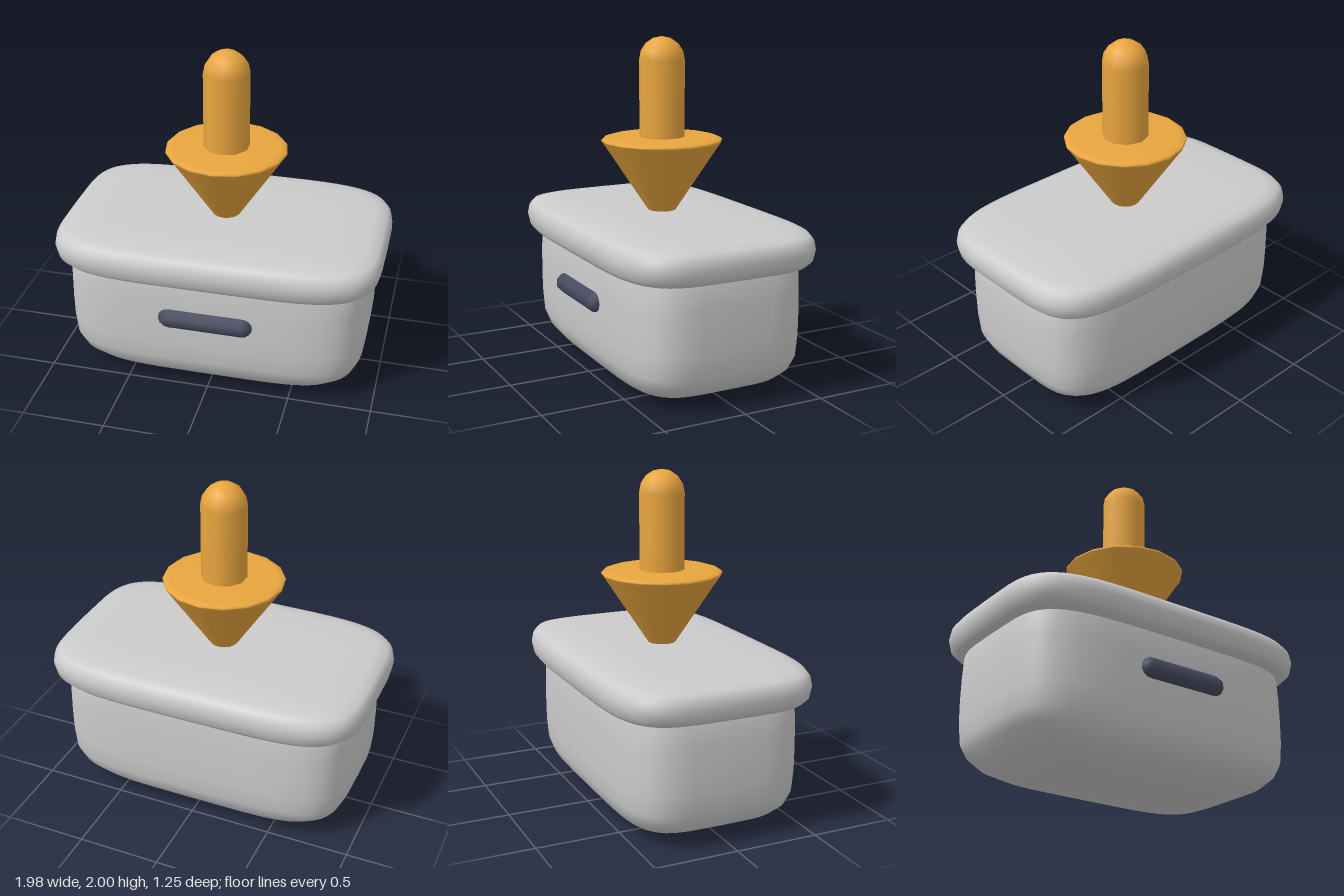
import * as THREE from 'three';

const grey = new THREE.MeshStandardMaterial({ color: 0xcccccc });
const amber = new THREE.MeshStandardMaterial({ color: 0xe8a53e });
const slate = new THREE.MeshStandardMaterial({ color: 0x474b60 });

// Soft box: superellipse rings [halfWidth, halfDepth, y], listed from bottom to top
function softBox(rings, segments = 56, power = 4.7) {
  const positions = [], indices = [];
  const bend = (v) => Math.sign(v) * Math.abs(v) ** (2 / power);
  for (const [rx, rz, y] of rings) {
    for (let j = 0; j < segments; j++) {
      const a = (j / segments) * Math.PI * 2;
      positions.push(rx * bend(Math.cos(a)), y, rz * bend(Math.sin(a)));
    }
  }
  for (let i = 0; i < rings.length - 1; i++) {
    for (let j = 0; j < segments; j++) {
      const k = (j + 1) % segments;
      const a = i * segments + j, b = i * segments + k;
      const c = a + segments, d = b + segments;
      indices.push(a, c, b, b, c, d);
    }
  }
  const geometry = new THREE.BufferGeometry();
  geometry.setAttribute('position', new THREE.Float32BufferAttribute(positions, 3));
  geometry.setIndex(indices);
  geometry.computeVertexNormals();
  return geometry;
}

// Quarter-round cap profile, ending on the axis
function domeProfile(radius, baseY, steps) {
  return Array.from({ length: steps + 1 }, (_, i) => {
    const a = (i / steps) * Math.PI / 2;
    return new THREE.Vector2(i === steps ? 0 : radius * Math.cos(a), baseY + radius * Math.sin(a));
  });
}

function add(parent, name, geometry, material) {
  const mesh = new THREE.Mesh(geometry, material);
  mesh.name = name;
  parent.add(mesh);
  return mesh;
}

export function createModel() {
  const model = new THREE.Group();
  model.name = 'boxWithArrow';

  // Box body with a softly rounded base, its top tucked into the lid
  add(model, 'boxBody', softBox([
    [0.001, 0.001, 0], [0.3, 0.16, 0.003], [0.55, 0.31, 0.012], [0.7, 0.4, 0.032],
    [0.8, 0.468, 0.072], [0.868, 0.515, 0.13], [0.903, 0.542, 0.205],
    [0.914, 0.55, 0.33], [0.916, 0.551, 0.46], [0.914, 0.55, 0.6],
    [0.908, 0.546, 0.72], [0.88, 0.53, 0.8],
  ]), grey);

  // Overhanging lid
  add(model, 'lid', softBox([
    [0.001, 0.001, 0.728], [0.75, 0.45, 0.728], [0.88, 0.54, 0.732],
    [0.945, 0.588, 0.747], [0.978, 0.614, 0.78], [0.99, 0.625, 0.84],
    [0.981, 0.616, 0.89], [0.955, 0.592, 0.924], [0.89, 0.545, 0.942],
    [0.75, 0.46, 0.953], [0.5, 0.3, 0.958], [0.001, 0.001, 0.96],
  ]), grey);

  // Front handle: a horizontal eight-sided pill
  const handleRadius = 0.063, handleLength = 0.57 - 2 * handleRadius;
  const handleGeometry = new THREE.CapsuleGeometry(handleRadius, handleLength, 4, 8);
  handleGeometry.rotateY(Math.PI / 8);
  handleGeometry.rotateZ(Math.PI / 2);
  add(model, 'handle', handleGeometry, slate).position.set(0, 0.508, 0.542);

  // Arrow pointing down into the lid
  const arrow = new THREE.Group();
  arrow.name = 'arrow';
  model.add(arrow);
  const shaftProfile = [new THREE.Vector2(0.137, 1.38), ...domeProfile(0.137, 1.863, 4)];
  add(arrow, 'arrowShaft', new THREE.LatheGeometry(shaftProfile, 10), amber);
  const headProfile = [
    [0, 0.83], [0.345, 1.354], [0.363, 1.378], [0.365, 1.386],
    [0.357, 1.394], [0.32, 1.405], [0, 1.405],
  ].map(([r, y]) => new THREE.Vector2(r, y));
  add(arrow, 'arrowHead', new THREE.LatheGeometry(headProfile, 16), amber);

  return model;
}
